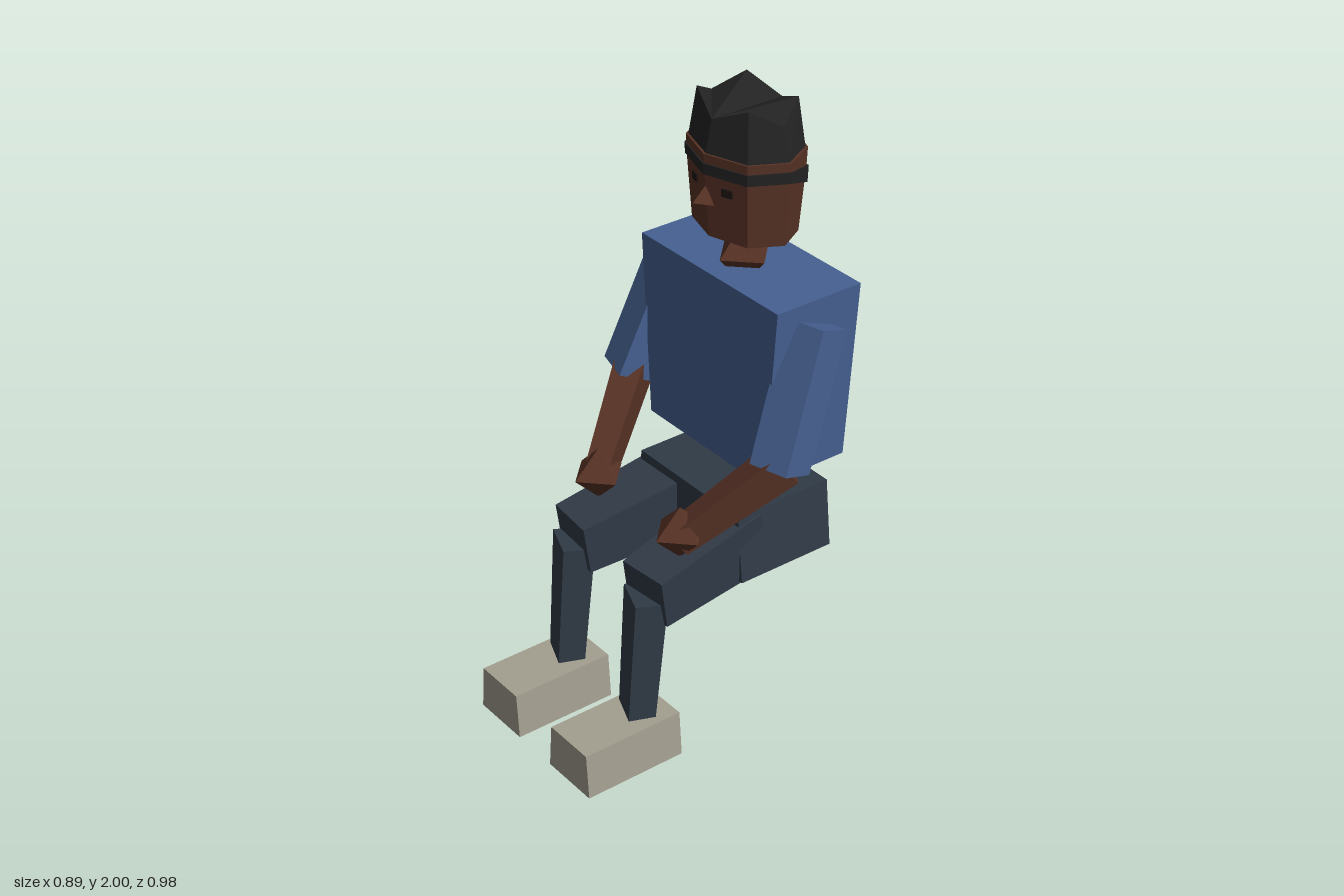
import * as THREE from 'three';

const mat = (name, color) => {
  const m = new THREE.MeshStandardMaterial({ color, flatShading: true });
  m.name = name;
  return m;
};

export function createModel() {
  const shirt = mat('blue shirt', 0x466192);
  const trousers = mat('dark trousers', 0x303a46);
  const skin = mat('brown skin', 0x573225);
  const hair = mat('black hair', 0x232323);
  const shoe = mat('grey shoe', 0xa39e8f);
  const eye = mat('dark eye', 0x1e1412);

  const group = new THREE.Group();
  const V = (x, y, z) => new THREE.Vector3(x, y, z);
  const add = (name, geometry, material) => {
    const mesh = new THREE.Mesh(geometry, material);
    mesh.name = name;
    group.add(mesh);
    return mesh;
  };

  // Upright box whose top and bottom widths differ
  function block(name, material, cx, y0, y1, z0, z1, wBottom, wTop) {
    const g = new THREE.BoxGeometry(1, y1 - y0, z1 - z0);
    const p = g.attributes.position;
    for (let i = 0; i < p.count; i++) p.setX(i, p.getX(i) * (p.getY(i) > 0 ? wTop : wBottom));
    g.computeVertexNormals();
    add(name, g, material).position.set(cx, (y0 + y1) / 2, (z0 + z1) / 2);
  }

  // Tapered limb from a to b; sizes are [width, depth] at each end
  function limb(name, material, a, b, sizeA, sizeB, twist = 0) {
    const g = new THREE.BoxGeometry(1, 1, a.distanceTo(b));
    const p = g.attributes.position;
    for (let i = 0; i < p.count; i++) {
      const s = p.getZ(i) > 0 ? sizeB : sizeA;
      p.setX(i, p.getX(i) * s[0]);
      p.setY(i, p.getY(i) * s[1]);
    }
    g.rotateZ(twist);
    g.computeVertexNormals();
    const mesh = add(name, g, material);
    mesh.position.copy(a).lerp(b, 0.5);
    mesh.lookAt(b);
  }

  // Eight-sided ring; y may depend on the corner index (0 is the front)
  const ring = (y, rx, rz) => Array.from({ length: 8 }, (_, i) => {
    const a = i * Math.PI / 4;
    return V(Math.sin(a) * rx, typeof y === 'function' ? y(i) : y, -0.312 + Math.cos(a) * rz);
  });

  // Closed skin through a stack of rings, caps fanned from the front corner
  function loft(name, material, rings) {
    const tri = [];
    for (let r = 0; r + 1 < rings.length; r++) {
      const a = rings[r], b = rings[r + 1];
      for (let i = 0; i < 8; i++) {
        const j = (i + 1) % 8;
        tri.push(a[i], a[j], b[j], a[i], b[j], b[i]);
      }
    }
    const low = rings[0], top = rings[rings.length - 1];
    for (let i = 1; i < 7; i++) {
      tri.push(top[0], top[i], top[i + 1], low[0], low[i + 1], low[i]);
    }
    const g = new THREE.BufferGeometry().setFromPoints(tri);
    g.computeVertexNormals();
    add(name, g, material);
  }

  // Torso and hips
  block('torso', shirt, 0, 0.855, 1.46, -0.488, -0.175, 0.55, 0.64);
  block('hips', trousers, 0, 0.525, 0.75, -0.46, -0.11, 0.53, 0.48);

  // Neck
  const neck = add('neck', new THREE.OctahedronGeometry(1), skin);
  neck.scale.set(0.093, 0.11, 0.093);
  neck.position.set(0, 1.485, -0.312);

  // Head, headband that dips at the back, and crown of hair
  loft('head', skin, [ring(1.58, 0.183, 0.135), ring(1.79, 0.198, 0.154), ring(1.848, 0.2, 0.157)]);
  const dip = i => Math.max(0, -Math.cos(i * Math.PI / 4));
  loft('headband', hair, [
    ring(i => 1.785 - 0.07 * dip(i), 0.202, 0.159),
    ring(i => 1.82 - 0.045 * dip(i), 0.204, 0.161),
  ]);
  loft('hair', hair, [
    ring(1.845, 0.193, 0.15),
    ring(i => (i % 2 ? 2.0 : 1.948), 0.165, 0.13),
  ]);

  // Nose
  const tip = V(0, 1.703, -0.116), bridge = V(0, 1.748, -0.165);
  const nl = V(0.03, 1.69, -0.172), nr = V(-0.03, 1.69, -0.172);
  const nose = new THREE.BufferGeometry().setFromPoints(
    [tip, nl, bridge, tip, bridge, nr, tip, nr, nl, bridge, nl, nr]);
  nose.computeVertexNormals();
  add('nose', nose, skin);

  for (const s of [1, -1]) {
    const side = s > 0 ? 'left' : 'right';
    const P = (x, y, z) => V(s * x, y, z);

    // Eye plate lying on the slanted cheek
    const e = add(side + 'Eye', new THREE.BoxGeometry(0.036, 0.024, 0.009), eye);
    e.position.copy(P(0.073, 1.742, -0.184));
    e.rotation.y = s * 0.3;

    // Arm
    limb(side + 'Sleeve', shirt, P(0.32, 1.38, -0.325), P(0.365, 0.968, -0.16), [0.13, 0.137], [0.13, 0.13]);
    limb(side + 'Forearm', skin, P(0.365, 0.985, -0.18), P(0.2, 0.735, 0.09), [0.1, 0.11], [0.075, 0.085]);
    const hand = add(side + 'Hand', new THREE.OctahedronGeometry(0.088), skin);
    hand.position.copy(P(0.204, 0.76, 0.083));

    // Leg; both shins twist the same way
    limb(side + 'Thigh', trousers, P(0.147, 0.63, -0.2), P(0.184, 0.573, 0.197), [0.2, 0.21], [0.17, 0.165]);
    const sx = s > 0 ? 0.178 : -0.19;
    limb(side + 'Shin', trousers, V(sx, 0.565, 0.19), V(sx, 0.14, 0.225), [0.135, 0.1], [0.115, 0.085], 0.38);
    block(side + 'Shoe', shoe, s * 0.184, 0, 0.152, 0.135, 0.488, 0.205, 0.18);
  }
  return group;
}
